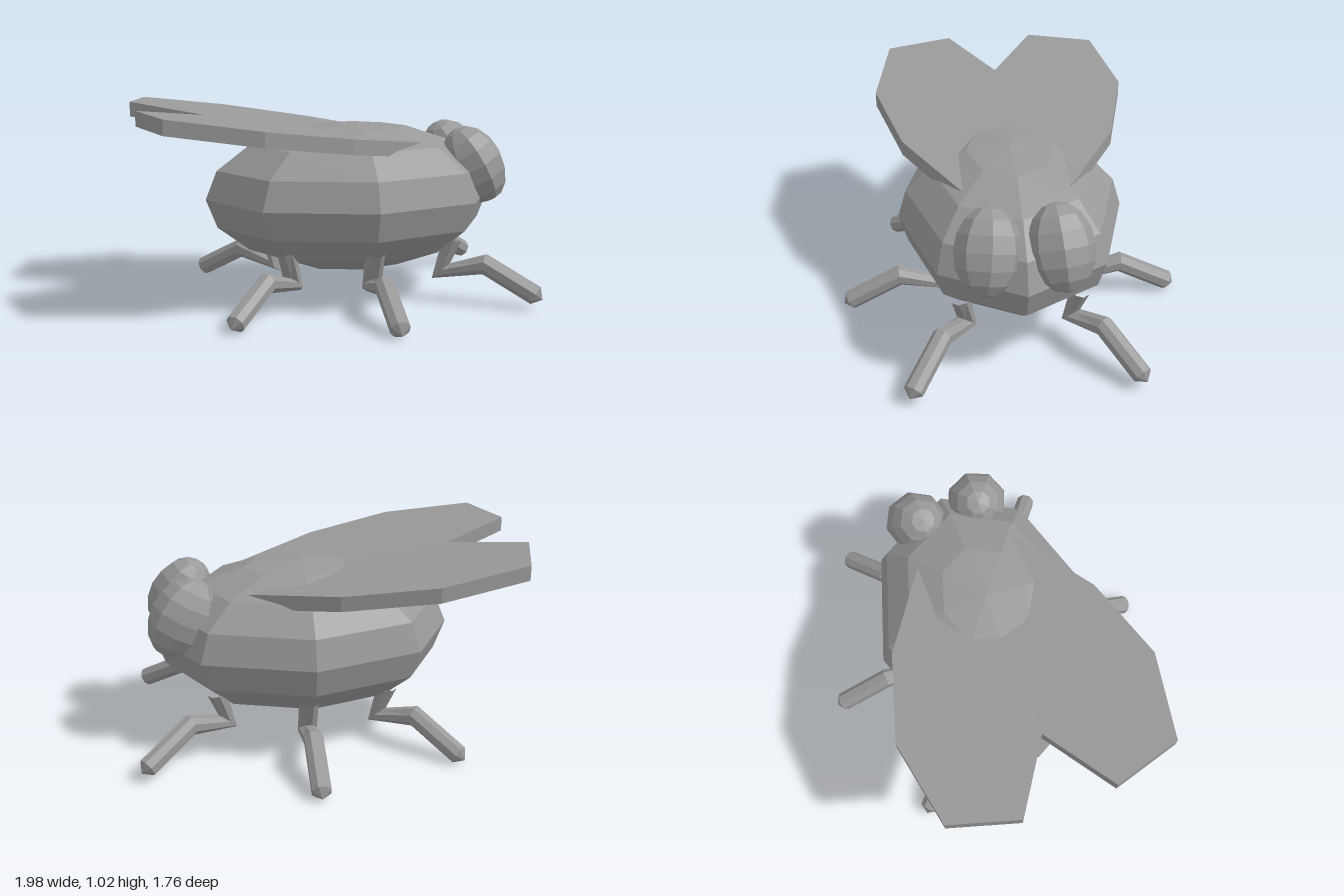
import * as THREE from 'three';

// Low-poly fly: head towards +x, wings trailing towards -x.

const grey = new THREE.MeshStandardMaterial({ color: 0x999999, flatShading: true });
grey.name = 'grey';

function part(name, geometry) {
  const mesh = new THREE.Mesh(geometry, grey);
  mesh.name = name;
  return mesh;
}

// Faceted ellipsoid
function ellipsoid(rx, ry, rz) {
  return new THREE.SphereGeometry(1, 8, 8).scale(rx, ry, rz);
}

// Flat plate sheared onto a sloping plane; side is +1 or -1
function wingGeometry(side) {
  const outline = [[0.41, 0.265], [0, 0.53], [-0.45, 0.655], [-0.9, 0.57],
    [-1, 0.23], [-0.645, 0], [0.3, 0]];
  const shape = new THREE.Shape(outline.map(([x, z]) => new THREE.Vector2(x, z * side)));
  const geo = new THREE.ExtrudeGeometry(shape, { depth: 0.075, bevelEnabled: false });
  geo.rotateX(Math.PI / 2);
  const p = geo.attributes.position;
  for (let i = 0; i < p.count; i++) {
    p.setY(i, p.getY(i) + 0.883 - 0.135 * p.getX(i) + 0.02 * Math.abs(p.getZ(i)));
  }
  geo.computeVertexNormals();
  return geo;
}

// Bent leg in the local xy plane, mitred at the joints, with a pointed foot
function legGeometry() {
  const path = [[0.06, 0.31, 0.05], [0, 0.13, 0.05], [0.23, 0.185, 0.05],
    [0.495, 0.047, 0.05], [0.53, 0.028, 0]];
  const sides = 8, verts = [], index = [];
  const dir = (a, b) => new THREE.Vector2(b[0] - a[0], b[1] - a[1]).normalize();
  path.forEach(([x, y, r], i) => {
    const before = dir(path[Math.max(i - 1, 0)], path[Math.max(i, 1)]);
    const after = i < path.length - 1 ? dir(path[i], path[i + 1]) : before;
    const t = before.clone().add(after).normalize();
    const mitre = Math.min(1 / t.dot(after), 1.25);
    for (let j = 0; j < sides; j++) {
      const a = ((j + 0.5) / sides) * Math.PI * 2;
      const n = Math.cos(a) * r * mitre;
      verts.push(x - t.y * n, y + t.x * n, Math.sin(a) * r);
      if (i === path.length - 1) continue;
      const k = (j + 1) % sides, base = i * sides, next = base + sides;
      index.push(base + j, base + k, next + k, base + j, next + k, next + j);
    }
  });
  const geo = new THREE.BufferGeometry();
  geo.setAttribute('position', new THREE.Float32BufferAttribute(verts, 3));
  geo.setIndex(index);
  geo.computeVertexNormals();
  return geo;
}

export function createModel() {
  const model = new THREE.Group();
  model.name = 'fly';

  const body = part('body', ellipsoid(0.765, 0.385, 0.57));
  body.position.set(0.12, 0.535, 0);
  model.add(body);

  // Lower bend of each leg (x, y lift, z) and its outward heading
  const legs = [
    ['frontLeg', 0.535, 0.03, 0.26, 0.82, 0.57],
    ['middleLeg', 0.14, 0, 0.35, 0, 1],
    ['backLeg', -0.24, 0, 0.235, -0.7, 0.71],
  ];
  const legGeo = legGeometry();

  for (const side of [1, -1]) {
    const label = side > 0 ? 'Near' : 'Far';

    model.add(part('wing' + label, wingGeometry(side)));

    const eye = part('eye' + label, ellipsoid(0.157, 0.212, 0.16));
    eye.position.set(0.737, 0.697, 0.17 * side);
    eye.rotation.set(-0.12 * side, 0, 0.5);
    model.add(eye);

    for (const [name, x, lift, z, dx, dz] of legs) {
      const leg = part(name + label, legGeo);
      leg.position.set(x, lift, z * side);
      leg.rotation.y = -Math.atan2(dz * side, dx);
      model.add(leg);
    }
  }
  return model;
}
